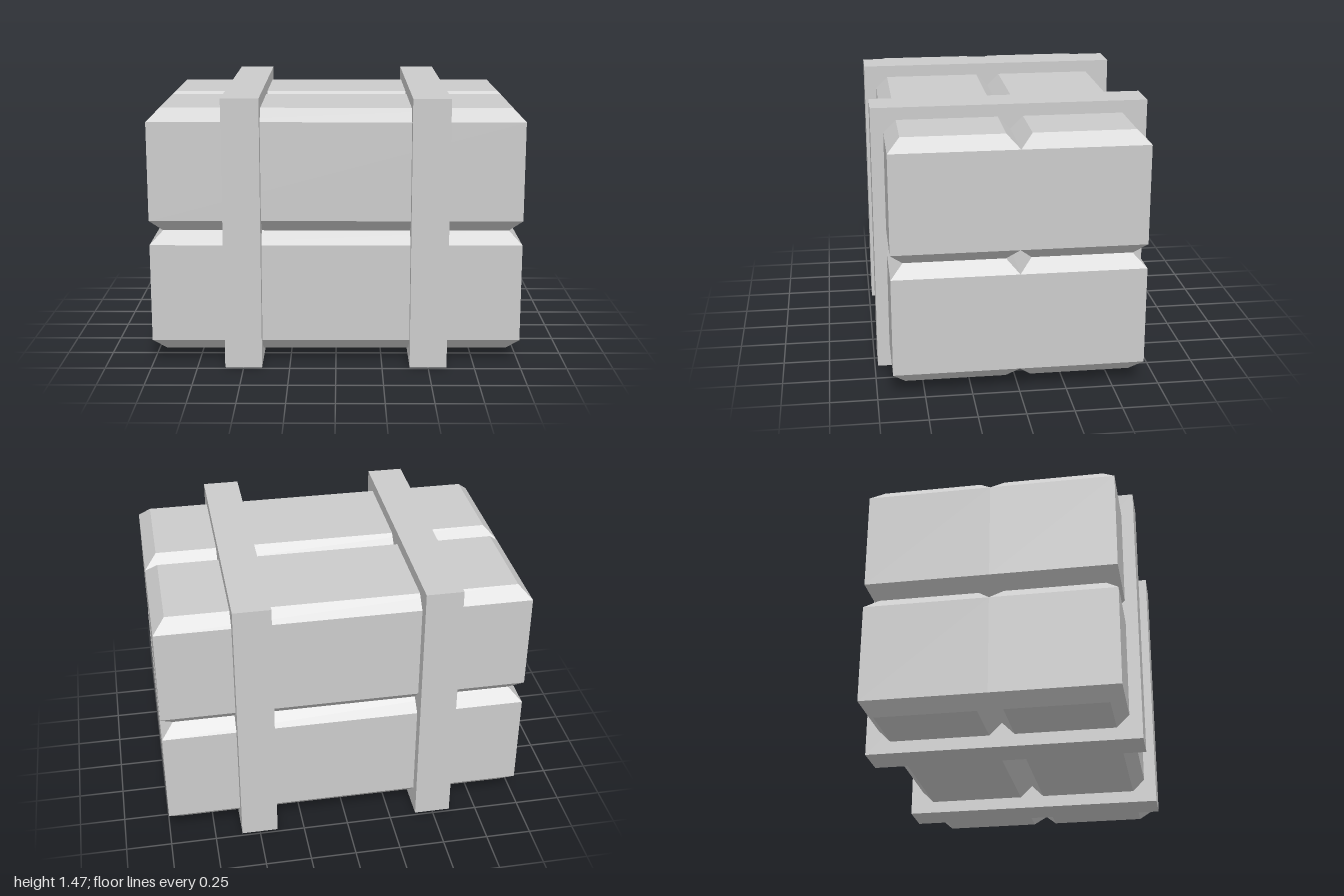
import * as THREE from 'three';

const LENGTH = 2, SIZE = 2 / 3, BEVEL = 1 / 15;

// Bar with sharp upright edges and bevelled top and bottom rims
function bevelledBar() {
  const geo = new THREE.BoxGeometry(LENGTH, SIZE, SIZE, 1, 3, 1);
  const pos = geo.attributes.position;
  for (let i = 0; i < pos.count; i++) {
    const x = pos.getX(i), y = pos.getY(i), z = pos.getZ(i);
    if (Math.abs(y) > SIZE / 2 - 0.01) {
      pos.setX(i, x - Math.sign(x) * BEVEL);
      pos.setZ(i, z - Math.sign(z) * BEVEL);
    } else {
      pos.setY(i, Math.sign(y) * (SIZE / 2 - BEVEL));
    }
  }
  const flat = geo.toNonIndexed();
  flat.computeVertexNormals();
  return flat;
}

export function createModel() {
  const model = new THREE.Group();
  model.name = 'strappedBarStack';
  const material = new THREE.MeshStandardMaterial({ color: 0xcccccc, flatShading: true });
  const height = 2 * SIZE + 2 * BEVEL;

  const add = (name, geometry, x, y, z) => {
    const mesh = new THREE.Mesh(geometry, material);
    mesh.name = name;
    mesh.position.set(x, y, z);
    model.add(mesh);
  };

  // Four bars, two by two
  const bar = bevelledBar();
  for (const [layer, level] of [['lower', 0], ['upper', 1]]) {
    for (const [side, s] of [['Front', 1], ['Back', -1]]) {
      add(`${layer}${side}Bar`, bar, 0, BEVEL + SIZE * (level + 0.5), s * SIZE / 2);
    }
  }

  // Two straps around the stack
  const strap = new THREE.BoxGeometry(0.2, height, height);
  add('leftStrap', strap, 0.5, height / 2, 0);
  add('rightStrap', strap, -0.5, height / 2, 0);

  return model;
}
